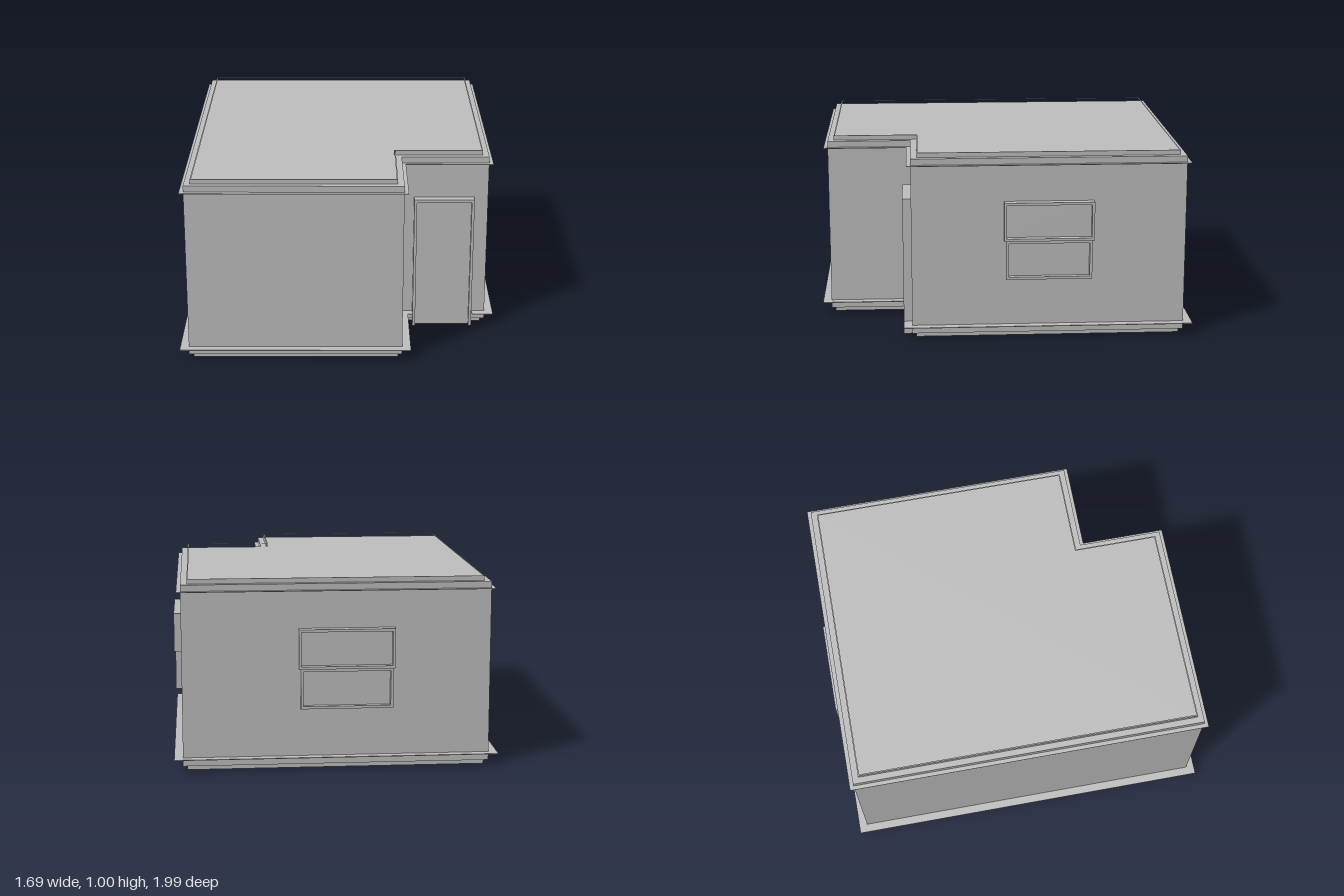
import * as THREE from 'three';

export function createModel() {
  const model = new THREE.Group();
  model.name = 'building';
  const plaster = new THREE.MeshStandardMaterial({ color: 0xc0c0c0 });
  plaster.name = 'grey plaster';

  // L-shaped plan grown by d; the optional gap skips the doorway
  function outline(d, doorGap = false) {
    const door = doorGap ? [[0.73, 0.5 + d], [0.73, 0.5], [0.4, 0.5], [0.4, 0.5 + d]] : [];
    return [
      [-0.8 - d, -0.95 - d], [0.8 + d, -0.95 - d], [0.8 + d, 0.5 + d], ...door,
      [0.33 + d, 0.5 + d], [0.33 + d, 0.95 + d], [-0.8 - d, 0.95 + d],
    ].map(([x, z]) => new THREE.Vector2(x, -z));
  }

  function addSlab(name, y, height, outer, inner) {
    const shape = new THREE.Shape(outer);
    if (inner) shape.holes.push(new THREE.Path(inner));
    const geometry = new THREE.ExtrudeGeometry(shape, { depth: height, bevelEnabled: false });
    geometry.rotateX(-Math.PI / 2);
    const mesh = new THREE.Mesh(geometry, plaster);
    mesh.name = name;
    mesh.position.y = y;
    model.add(mesh);
  }

  // Walls with roof deck and floor, then the rims and ledges around them
  addSlab('walls', 0.025, 0.95, outline(0));
  addSlab('roofRim', 0.975, 0.025, outline(-0.033), outline(-0.04));
  addSlab('baseRim', 0, 0.025, outline(-0.022), outline(-0.03));
  addSlab('corniceLedge', 0.938, 0.004, outline(0.022), outline(-0.005));
  addSlab('baseLedge', 0.066, 0.004, outline(0.045, true), outline(-0.005));

  function addBox(parent, name, x0, x1, y0, y1, z0, z1) {
    const mesh = new THREE.Mesh(new THREE.BoxGeometry(x1 - x0, y1 - y0, z1 - z0), plaster);
    mesh.name = name;
    mesh.position.set((x0 + x1) / 2, (y0 + y1) / 2, (z0 + z1) / 2);
    parent.add(mesh);
  }

  // Door in the front recess
  const door = new THREE.Group();
  door.name = 'door';
  door.position.z = 0.5;
  addBox(door, 'doorPanel', 0.41, 0.715, 0, 0.735, -0.01, 0.02);
  addBox(door, 'doorJamb', 0.4, 0.415, 0, 0.745, -0.01, 0.045);
  addBox(door, 'doorJamb', 0.71, 0.725, 0, 0.745, -0.01, 0.045);
  addBox(door, 'doorHead', 0.415, 0.71, 0.73, 0.745, -0.01, 0.045);
  model.add(door);

  // Two-sash window, built facing +z with its back on the wall
  function addWindow(name, width, x, z, turn) {
    const group = new THREE.Group();
    group.name = name;
    const sashes = [
      ['upperSash', width / 2, 0.535, 0.743, 0.043],
      ['lowerSash', width / 2 - 0.01, 0.325, 0.535, 0.036],
    ];
    for (const [sash, w, low, high, depth] of sashes) {
      const bar = 0.014;
      addBox(group, sash + 'Glass', -w + bar, w - bar, low, high, -0.01, 0.008);
      for (const side of [-1, 1]) {
        const edge = side * (w - bar / 2);
        addBox(group, sash + 'Stile', edge - bar / 2, edge + bar / 2, low, high, -0.01, depth);
      }
      addBox(group, sash + 'Rail', -w + bar, w - bar, low, low + bar, -0.01, depth);
      addBox(group, sash + 'Rail', -w + bar, w - bar, high - bar, high, -0.01, depth);
    }
    group.position.set(x, 0, z);
    group.rotation.y = turn;
    model.add(group);
  }
  addWindow('rightWallWindow', 0.475, 0.8, -0.225, Math.PI / 2);
  addWindow('backWallWindow', 0.5, -0.05, -0.95, Math.PI);

  return model;
}
